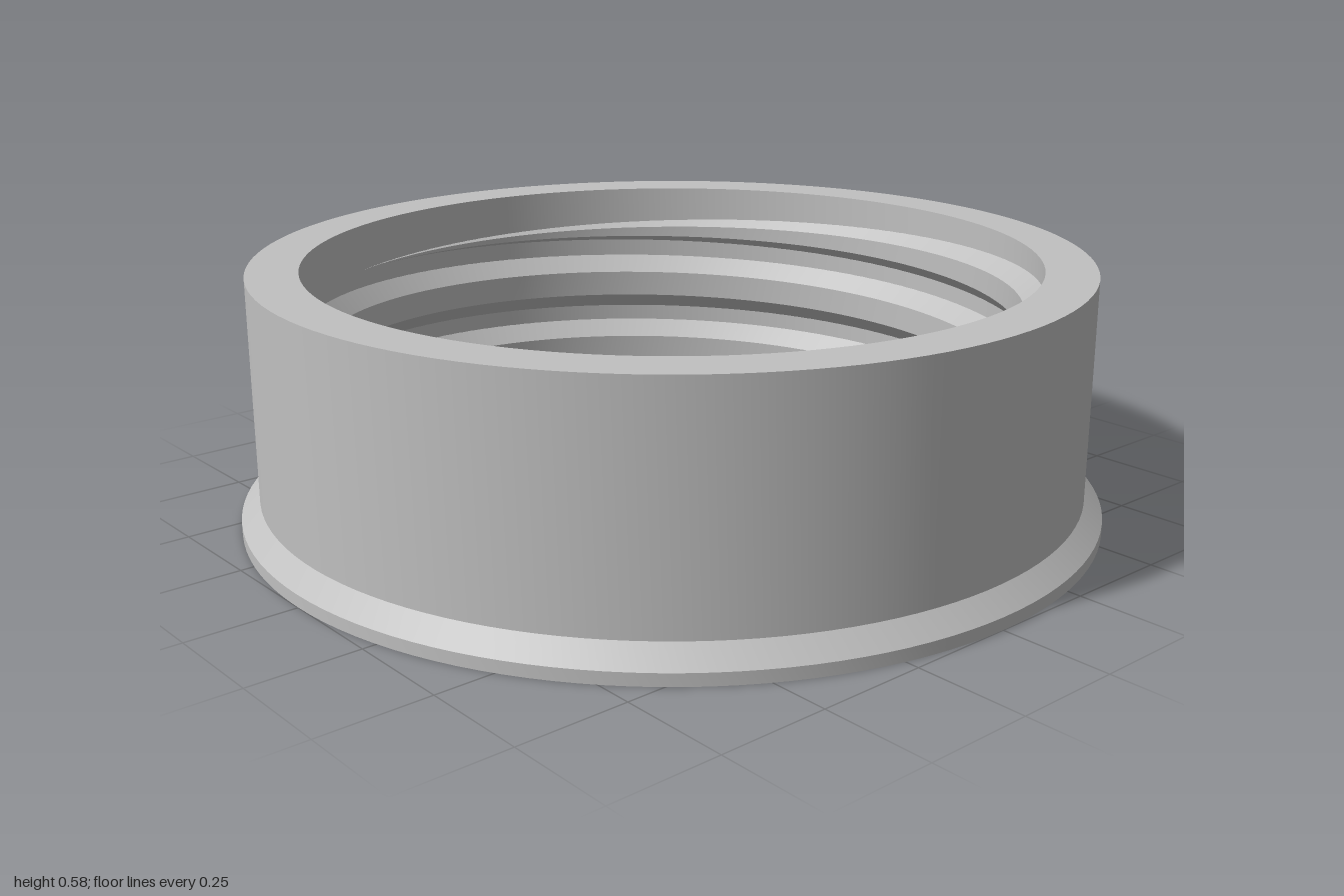
import * as THREE from 'three';
import { toCreasedNormals } from 'three/addons/utils/BufferGeometryUtils.js';

const BORE = 0.84;     // plain inner radius
const DEPTH = 0.04;    // thread height
const PITCH = 0.185;
const START = -0.7, END = 2.2, TAPER = 0.45; // in turns

// Closed ring section: flange, outer wall, top rim, bore, bottom chamfer
function ringGeometry() {
  const profile = [
    [0.866, 0], [1, 0], [1, 0.028], [0.957, 0.071], [0.957, 0.585],
    [BORE, 0.585], [BORE, 0.028], [0.866, 0],
  ].map(([r, y]) => new THREE.Vector2(r, y));
  return toCreasedNormals(new THREE.LatheGeometry(profile, 128), 0.5);
}

// Trapezoid section swept down a helix, fading into the bore at both ends
function threadGeometry() {
  const steps = 360;
  const section = [[-0.003, 0.0755], [DEPTH, 0.0325], [DEPTH, -0.0325], [-0.003, -0.0755]];
  const n = section.length;
  const positions = [], index = [];
  for (let i = 0; i <= steps; i++) {
    const t = START + (END - START) * i / steps;
    const fade = Math.min(1, (t - START) / TAPER, (END - t) / TAPER);
    const shift = (1 - fade) * 0.07 * (t < 0.75 ? -1 : 1);
    const centre = 0.413 - PITCH * t + shift;
    const a = Math.PI / 4 + t * Math.PI * 2;
    for (const [inward, dy] of section) {
      const r = BORE - (inward > 0 ? inward * fade : inward);
      positions.push(r * Math.cos(a), centre + dy * fade, r * Math.sin(a));
    }
  }
  for (let i = 0; i < steps; i++) {
    for (let j = 0; j < n - 1; j++) {
      const p = i * n + j, q = p + n;
      index.push(p, p + 1, q, p + 1, q + 1, q);
    }
  }
  const geometry = new THREE.BufferGeometry();
  geometry.setAttribute('position', new THREE.Float32BufferAttribute(positions, 3));
  geometry.setIndex(index);
  return toCreasedNormals(geometry, 0.5);
}

export function createModel() {
  const model = new THREE.Group();
  model.name = 'threadedRing';
  const grey = new THREE.MeshStandardMaterial({ color: 0xc0c0c0 });
  grey.name = 'light grey';

  const ring = new THREE.Mesh(ringGeometry(), grey);
  ring.name = 'flangedRing';
  const thread = new THREE.Mesh(threadGeometry(), grey);
  thread.name = 'innerThread';
  model.add(ring, thread);
  return model;
}
